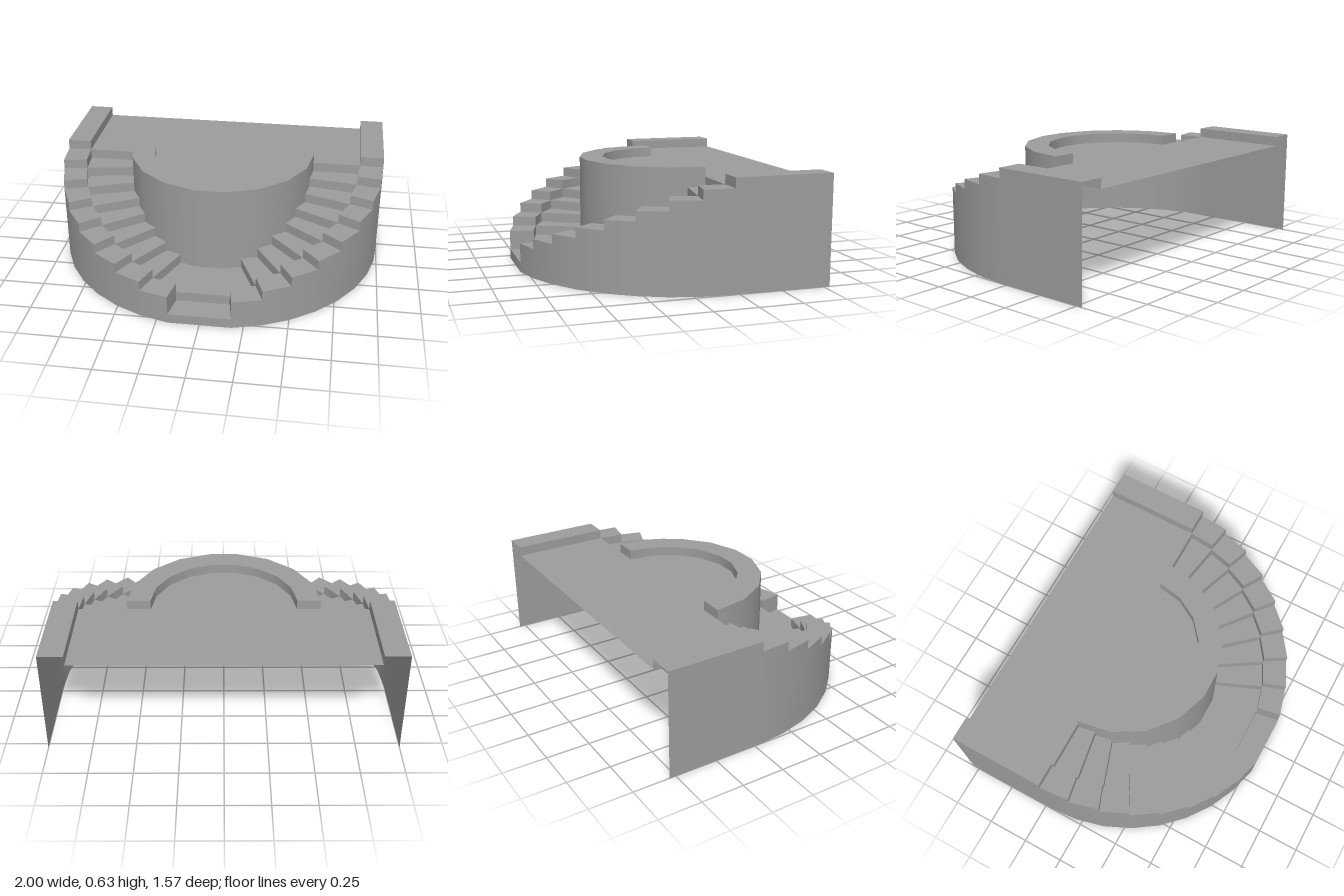
import * as THREE from 'three';

// Main dimensions
const RISE = 0.0575, Z0 = -0.215, BACK = -0.787, DEPTH = 1.018;
const R_OUT = 1, R_RING = 0.856, R_DRUM = 0.57, R_PARAPET = 0.43;
const SECTORS = 17, TOP = 11, PLAZA = 10;

const edgeIndex = (s) => (s <= 8 ? 8 - s : s - 9);

// Signed angle of a sector edge from the front, evenly spaced from `first` to 90 degrees
function edgeAngle(s, first = 10.5) {
  const degrees = first + ((90 - first) / 8) * edgeIndex(s);
  return (s <= 8 ? -1 : 1) * THREE.MathUtils.degToRad(degrees);
}

// Plan position [x, z] of a sector edge at radius r; the drum has half as many sides
function plan(r, s) {
  const drum = r < 0.6;
  if (drum && edgeIndex(s) % 2) {
    const [a, b] = [plan(r, s - 1), plan(r, s + 1)];
    return [(a[0] + b[0]) / 2, (a[1] + b[1]) / 2];
  }
  const t = edgeAngle(s, drum ? 8.8 : 10.5);
  return [r * Math.sin(t), Z0 + DEPTH * r * Math.cos(t)];
}

// Point at radius r, edge s, height in step levels
function point(r, s, level) {
  const [x, z] = plan(r, s);
  return [x, level * RISE, z];
}

// Collects quads into one surface
class Surface {
  positions = [];
  normals = [];
  quad(corners, normals) {
    const [a, b, c] = corners.map((p) => new THREE.Vector3(...p));
    const flat = b.clone().sub(a).cross(c.clone().sub(a)).normalize().toArray();
    for (const i of [0, 1, 2, 0, 2, 3]) {
      this.positions.push(...corners[i]);
      this.normals.push(...(normals ? normals[i] : flat));
    }
  }
  // Curved panel of one sector, facing outwards when y1 > y0
  panel(r, s, y0, y1) {
    const n = [s, s + 1].map((e) => {
      const k = Math.sign(y1 - y0), t = edgeAngle(e);
      return [k * Math.sin(t), 0, k * Math.cos(t)];
    });
    this.quad([point(r, s, y0), point(r, s + 1, y0), point(r, s + 1, y1), point(r, s, y1)],
      [n[0], n[1], n[1], n[0]]);
  }
  // Horizontal tread of one sector
  tread(r0, r1, s, y) {
    this.quad([point(r0, s, y), point(r1, s, y), point(r1, s + 1, y), point(r0, s + 1, y)]);
  }
  // Radial riser on a sector edge
  riser(r0, r1, s, y0, y1) {
    this.quad([point(r0, s, y0), point(r1, s, y0), point(r1, s, y1), point(r0, s, y1)]);
  }
  // Quad on the left side and its mirror image on the right
  mirrored(corners) {
    this.quad(corners);
    this.quad(corners.map(([x, y, z]) => [-x, y, z]).reverse());
  }
  mesh(name, material) {
    const g = new THREE.BufferGeometry();
    g.setAttribute('position', new THREE.Float32BufferAttribute(this.positions, 3));
    g.setAttribute('normal', new THREE.Float32BufferAttribute(this.normals, 3));
    const m = new THREE.Mesh(g, material);
    m.name = name;
    return m;
  }
}

export function createModel() {
  const group = new THREE.Group();
  group.name = 'curvedDoubleStaircase';
  const material = new THREE.MeshStandardMaterial({ color: 0x9c9c9c, side: THREE.DoubleSide });

  const outerWall = new Surface(), outerSteps = new Surface(), innerSteps = new Surface();
  const drum = new Surface(), parapet = new Surface(), sideBlocks = new Surface();

  // Step levels per sector: the outer band sits one rise above the inner flight
  const outer = (s) => {
    const i = Math.abs(s - 8);
    return i === 0 ? 1 : i > 8 ? TOP : 2 + i;
  };
  const inner = (s) => {
    const i = Math.abs(s - 8);
    return i > 8 ? PLAZA : Math.max(2, 1 + i);
  };

  for (let s = 0; s < SECTORS; s++) {
    outerWall.panel(R_OUT, s, 0, outer(s));
    outerSteps.tread(R_RING, R_OUT, s, outer(s));
    outerSteps.panel(R_RING, s, outer(s), inner(s));
    innerSteps.tread(R_DRUM, R_RING, s, inner(s));
    drum.panel(R_DRUM, s, inner(s), TOP);
    parapet.tread(R_PARAPET, R_DRUM, s, TOP);
    parapet.panel(R_PARAPET, s, TOP, PLAZA);
  }
  // Risers between neighbouring sectors, including those up to the plaza
  for (let s = 0; s <= SECTORS; s++) {
    if (outer(s - 1) !== outer(s)) outerSteps.riser(R_RING, R_OUT, s, outer(s - 1), outer(s));
    if (inner(s - 1) !== inner(s)) innerSteps.riser(R_DRUM, R_RING, s, inner(s - 1), inner(s));
  }
  // Ends of the curved parapet
  parapet.riser(R_PARAPET, R_DRUM, 0, PLAZA, TOP);
  parapet.riser(R_PARAPET, R_DRUM, SECTORS, TOP, PLAZA);

  // Straight side walls and the low blocks along the plaza
  const h = TOP * RISE, p = PLAZA * RISE;
  outerWall.mirrored([[1, 0, Z0], [1, 0, BACK], [1, h, BACK], [1, h, Z0]]);
  sideBlocks.mirrored([[R_RING, h, BACK], [R_RING, h, Z0], [1, h, Z0], [1, h, BACK]]);
  sideBlocks.mirrored([[R_RING, p, BACK], [R_RING, p, Z0], [R_RING, h, Z0], [R_RING, h, BACK]]);

  // Plaza floor with its rounded front inside the parapet
  const outline = [[-R_RING, BACK], [-R_RING, Z0]];
  for (let s = 0; s <= SECTORS; s++) outline.push(plan(R_PARAPET, s));
  outline.push([R_RING, Z0], [R_RING, BACK]);
  const floor = new THREE.ShapeGeometry(
    new THREE.Shape(outline.map(([x, z]) => new THREE.Vector2(x, -z))));
  floor.rotateX(-Math.PI / 2).translate(0, p, 0);
  const plaza = new THREE.Mesh(floor, material);
  plaza.name = 'plazaFloor';

  group.add(
    outerWall.mesh('outerWall', material),
    outerSteps.mesh('outerSteps', material),
    innerSteps.mesh('innerSteps', material),
    drum.mesh('drumWall', material),
    parapet.mesh('parapet', material),
    sideBlocks.mesh('sideBlocks', material),
    plaza);
  return group;
}
